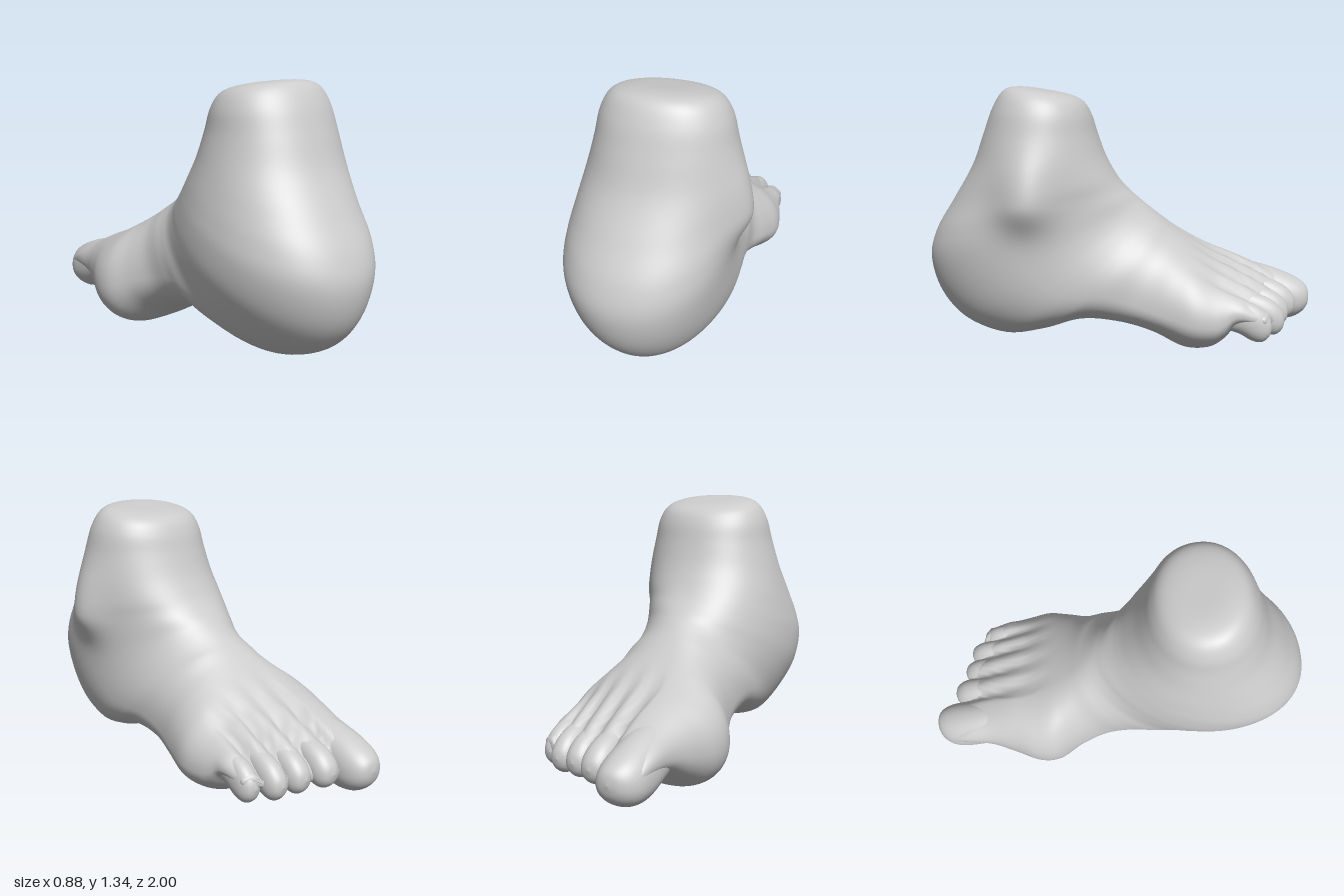
import * as THREE from 'three';

const AROUND = 112, STEPS = 6;
const { smoothstep } = THREE.MathUtils;

// Smooth interpolation between rows of section numbers
function sampleRows(rows, t) {
  const n = rows.length - 1;
  const i = Math.min(Math.floor(t), n - 1), f = t - i;
  const at = k => rows[Math.max(0, Math.min(n, k))];
  const [a, b, c, d] = [at(i - 1), at(i), at(i + 1), at(i + 2)];
  return b.map((p, k) => {
    const m0 = (c[k] - a[k]) / 2, m1 = (d[k] - p) / 2;
    const f2 = f * f, f3 = f2 * f;
    return (2 * f3 - 3 * f2 + 1) * p + (f3 - 2 * f2 + f) * m0 +
      (3 * f2 - 2 * f3) * c[k] + (f3 - f2) * m1;
  });
}

// Skin a row of sections. Each row: dorsal z, y; sole z, y;
// right x, left x, dorsal x, sole x; depth fraction of the right and left
// sides; roundness power (1 is an ellipse, less is boxier)
function loft(name, rows, material, shape) {
  const pos = [], index = [];
  const rings = (rows.length - 1) * STEPS;
  for (let i = 0; i <= rings; i++) {
    const [tz, ty, bz, by, xr, xl, xt, xb, vr, vl, round] = sampleRows(rows, i / STEPS);
    const power = v => Math.sign(v) * Math.pow(Math.abs(v), round);
    for (let j = 0; j < AROUND; j++) {
      const a = (j / AROUND) * Math.PI * 2;
      const s = power(Math.sin(a)), c = power(Math.cos(a));
      const xMid = c > 0 ? xt : xb;
      const side = s > 0 ? xl : xr, vSide = s > 0 ? vl : vr;
      const x = xMid + (side - xMid) * Math.abs(s);
      const v = c > 0 ? vSide * (1 - c) : vSide - (1 - vSide) * c;
      const p = new THREE.Vector3(x, ty + (by - ty) * v, tz + (bz - tz) * v);
      if (shape) shape(p);
      pos.push(p.x, p.y, p.z);
      if (i < rings) {
        const k = i * AROUND + j, m = i * AROUND + (j + 1) % AROUND;
        index.push(k, m, k + AROUND, m, m + AROUND, k + AROUND);
      }
    }
  }
  const geo = new THREE.BufferGeometry();
  geo.setAttribute('position', new THREE.Float32BufferAttribute(pos, 3));
  geo.setIndex(index);
  geo.computeVertexNormals();
  const mesh = new THREE.Mesh(geo, material);
  mesh.name = name;
  return mesh;
}

function sculptBody(p) {
  // Outer ankle bone: fades slowly upward, faster downward
  if (p.x > 0.1) {
    const dy = (p.y - 0.78) / (p.y > 0.78 ? 0.22 : 0.13), dz = (p.z - 0.45) / 0.14;
    p.x += 0.078 * Math.exp(-dy * dy - dz * dz);
  }
  // The toe line slants back toward the little toe
  p.z += 0.38 * p.x * smoothstep(-p.z, 0.42, 0.78);
  // Grooves between the tendons, on the upper side only
  const depth = 0.045 * smoothstep(-p.z, 0.3, 0.62) * smoothstep(p.y, 0.18, 0.27);
  for (const x of [-0.09, 0.035, 0.155, 0.262]) {
    p.y -= depth * Math.exp(-(((p.x - x) / 0.026) ** 2));
  }
}

export function createModel() {
  const group = new THREE.Group();
  group.name = 'foot';
  const skin = new THREE.MeshStandardMaterial({ color: 0xcccccc });

  // Ankle and heel sections fan round the instep
  const ankle = [
    [0.39, 1.318, 0.39, 1.318, 0.02, 0.02, 0.02, 0.02, 0.5, 0.5, 0.95],
    [0.27, 1.295, 0.51, 1.335, -0.13, 0.17, 0.02, 0.02, 0.5, 0.5, 0.95],
    [0.2, 1.26, 0.595, 1.318, -0.225, 0.265, 0.02, 0.02, 0.5, 0.5, 0.95],
    [0.16, 1.195, 0.655, 1.23, -0.275, 0.318, 0.01, 0.01, 0.5, 0.5, 0.95],
    [0.13, 1.1, 0.705, 1.1, -0.3, 0.342, 0, 0, 0.5, 0.5, 0.95],
    [0.09, 0.99, 0.765, 0.945, -0.335, 0.36, 0, -0.01, 0.5, 0.5, 0.95],
    [0.04, 0.895, 0.87, 0.77, -0.37, 0.36, -0.01, -0.03, 0.5, 0.48, 0.92],
    [0, 0.84, 0.965, 0.61, -0.395, 0.36, -0.02, -0.03, 0.52, 0.5, 0.92],
    [-0.04, 0.8, 1.0, 0.46, -0.412, 0.36, -0.02, -0.03, 0.54, 0.52, 0.95],
    [-0.08, 0.765, 0.95, 0.28, -0.41, 0.358, -0.03, -0.02, 0.53, 0.53, 1],
    [-0.11, 0.74, 0.82, 0.14, -0.385, 0.355, -0.03, 0, 0.5, 0.55, 1.02],
    [-0.14, 0.715, 0.62, 0.067, -0.355, 0.35, -0.04, 0, 0.5, 0.58, 1]
  ];
  // Arch, ball and the web that joins the toes
  const forefoot = [
    [-0.17, 0.69, 0.42, 0.1, -0.345, 0.342, -0.05, 0.03, 0.55, 0.62, 0.97],
    [-0.2, 0.665, 0.22, 0.165, -0.335, 0.335, -0.06, 0.06, 0.6, 0.67, 0.93],
    [-0.25, 0.625, 0.02, 0.15, -0.335, 0.335, -0.08, 0.02, 0.62, 0.7, 0.9],
    [-0.31, 0.583, -0.15, 0.095, -0.375, 0.375, -0.1, -0.06, 0.6, 0.68, 0.92],
    [-0.38, 0.54, -0.3, 0.006, -0.435, 0.41, -0.12, -0.16, 0.56, 0.61, 0.94],
    [-0.47, 0.492, -0.42, 0.003, -0.435, 0.402, -0.14, -0.17, 0.54, 0.6, 0.94],
    [-0.55, 0.455, -0.52, 0.06, -0.385, 0.388, -0.14, -0.14, 0.55, 0.61, 0.92],
    [-0.63, 0.412, -0.61, 0.135, -0.34, 0.376, -0.12, -0.08, 0.55, 0.62, 0.9],
    [-0.72, 0.362, -0.71, 0.165, -0.322, 0.37, -0.08, -0.02, 0.5, 0.58, 0.88],
    [-0.8, 0.308, -0.8, 0.16, -0.3, 0.355, -0.04, 0, 0.5, 0.55, 0.88],
    [-0.84, 0.262, -0.84, 0.18, -0.26, 0.32, -0.02, 0, 0.5, 0.5, 0.88],
    [-0.848, 0.22, -0.848, 0.22, 0, 0, 0, 0, 0.5, 0.5, 0.9]
  ];
  group.add(loft('footBody', [...ankle, ...forefoot], skin, sculptBody));

  // Toe section: z, centre x, half width, top, bottom
  const toeRow = ([z, x, w, top, bottom]) =>
    [z, top, z, bottom, x - w, x + w, x, x, 0.55, 0.55, 0.95];

  // Big toe
  group.add(loft('bigToe', [
    [-0.42, -0.22, 0.06, 0.42, 0.22],
    [-0.58, -0.215, 0.1, 0.412, 0.17],
    [-0.72, -0.205, 0.117, 0.387, 0.115],
    [-0.82, -0.203, 0.119, 0.357, 0.085],
    [-0.9, -0.2, 0.113, 0.325, 0.09],
    [-0.955, -0.195, 0.09, 0.295, 0.118],
    [-0.988, -0.19, 0.052, 0.262, 0.16],
    [-1.0, -0.19, 0, 0.215, 0.215]
  ].map(toeRow), skin));

  // Small toes share one profile: distance from tip, width, rise and drop
  const profile = [
    [0.4, 0.6, 0.16, 0], [0.28, 0.85, 0.165, 0.01], [0.17, 0.95, 0.136, 0.035],
    [0.1, 1.02, 0.113, 0.072], [0.05, 0.93, 0.084, 0.078],
    [0.014, 0.6, 0.043, 0.048], [0, 0, 0, 0]
  ];
  const toes = [
    ['secondToe', -0.028, -0.9, 0.073, 0.215],
    ['thirdToe', 0.096, -0.845, 0.067, 0.205],
    ['fourthToe', 0.208, -0.81, 0.063, 0.195],
    ['littleToe', 0.306, -0.735, 0.059, 0.188]
  ];
  for (const [name, x, tip, w, y] of toes) {
    const rows = profile.map(([d, k, up, down]) =>
      toeRow([tip + d, x - d * 0.04, w * k, y + up, y - down]));
    group.add(loft(name, rows, skin));
  }
  return group;
}
